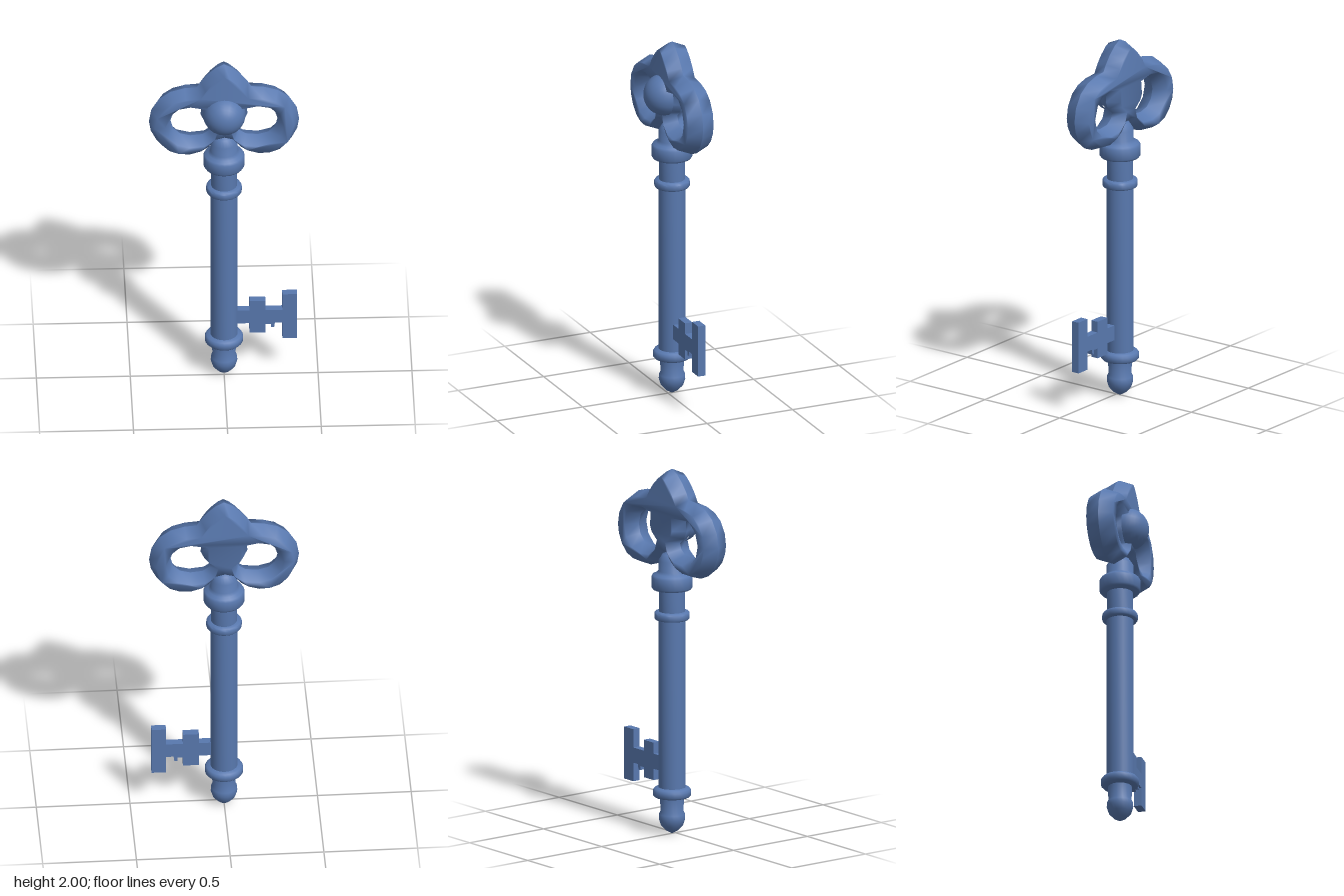
import * as THREE from 'three';
import { mergeVertices, toCreasedNormals } from 'three/addons/utils/BufferGeometryUtils.js';

const material = new THREE.MeshStandardMaterial({ color: 0x5878ae });
const AXIS_Z = -0.023;

const vectors = (points) => points.map(([x, y]) => new THREE.Vector2(x, y));
const mirrored = (points) => points.map(([x, y]) => [-x, y]).reverse();

function addPart(group, name, geometry, x = 0, y = 0, z = AXIS_Z) {
  const mesh = new THREE.Mesh(geometry, material);
  mesh.name = name;
  mesh.position.set(x, y, z);
  group.add(mesh);
  return mesh;
}

// Weld the vertices so that the bevels shade as one rounded surface
function smooth(geometry) {
  geometry.deleteAttribute('uv');
  geometry.deleteAttribute('normal');
  const welded = mergeVertices(geometry, 1e-4);
  welded.computeVertexNormals();
  return welded;
}

// Bow: pointed crown with a loop on each side, hexagonal in section
function bowGeometry() {
  const half = [
    [0.03, 1.537], [0.065, 1.495], [0.11, 1.463], [0.18, 1.441], [0.25, 1.446], [0.31, 1.47],
    [0.36, 1.52], [0.39, 1.58], [0.4, 1.64], [0.387, 1.715], [0.345, 1.785], [0.285, 1.828],
    [0.21, 1.85], [0.145, 1.855], [0.125, 1.89], [0.09, 1.935], [0.045, 1.977],
  ];
  const hole = [
    [0.12, 1.733], [0.18, 1.745], [0.23, 1.735], [0.268, 1.7], [0.285, 1.645], [0.272, 1.595],
    [0.235, 1.558], [0.18, 1.543], [0.115, 1.55], [0.08, 1.575], [0.07, 1.605],
    [0.105, 1.635], [0.125, 1.68],
  ];
  const shape = new THREE.Shape(vectors([[0, 1.545], ...half, [0, 2], ...mirrored(half)]));
  shape.holes = [hole, mirrored(hole)].map((points) => new THREE.Path(vectors(points)));
  const geometry = new THREE.ExtrudeGeometry(shape, {
    depth: 0.002, bevelEnabled: true, bevelSegments: 1,
    bevelThickness: 0.074, bevelSize: 0.03, bevelOffset: -0.03,
  });
  geometry.translate(0, 0, -0.001);
  return smooth(geometry);
}

// Stem: tip, shaft and three collars turned in one piece
function stemGeometry() {
  const profile = [
    [0, 0.002], [0.035, 0.022], [0.06, 0.05], [0.071, 0.085], [0.069, 0.11], [0.062, 0.125],
    [0.064, 0.2], [0.093, 0.205], [0.102, 0.215], [0.102, 0.24], [0.094, 0.252], [0.073, 0.258],
    [0.073, 1.175], [0.09, 1.178], [0.095, 1.185], [0.095, 1.21], [0.09, 1.218], [0.07, 1.222],
    [0.07, 1.338], [0.103, 1.344], [0.11, 1.355], [0.11, 1.41], [0.103, 1.422], [0.085, 1.43],
    [0.073, 1.445], [0.072, 1.5], [0.05, 1.535], [0, 1.55],
  ];
  const lathe = new THREE.LatheGeometry(vectors(profile), 24);
  return toCreasedNormals(lathe, 0.9);
}

// Bit: flat plate stepped into a small and a tall ward
function bitGeometry() {
  const outline = [
    [0.04, 0.332], [0.135, 0.332], [0.135, 0.27], [0.22, 0.27], [0.22, 0.325],
    [0.25, 0.325], [0.25, 0.303], [0.266, 0.303], [0.27, 0.332], [0.31, 0.332],
    [0.31, 0.23], [0.388, 0.23], [0.388, 0.515], [0.31, 0.515], [0.31, 0.415],
    [0.22, 0.415], [0.22, 0.475], [0.135, 0.475], [0.135, 0.415], [0.04, 0.415],
  ];
  const geometry = new THREE.ExtrudeGeometry(new THREE.Shape(vectors(outline)), {
    depth: 0.042, bevelEnabled: false,
  });
  return geometry.translate(0, 0, -0.021);
}

export function createModel() {
  const model = new THREE.Group();
  model.name = 'key';
  addPart(model, 'bow', bowGeometry());
  addPart(model, 'stem', stemGeometry());
  addPart(model, 'bit', bitGeometry(), 0, 0, -0.02);

  // Boss: half sphere on the front of the bow
  const dome = new THREE.SphereGeometry(0.114, 20, 10, 0, Math.PI * 2, 0, Math.PI / 2);
  dome.rotateX(Math.PI / 2);
  addPart(model, 'boss', dome, 0, 1.707, 0.02);
  return model;
}
